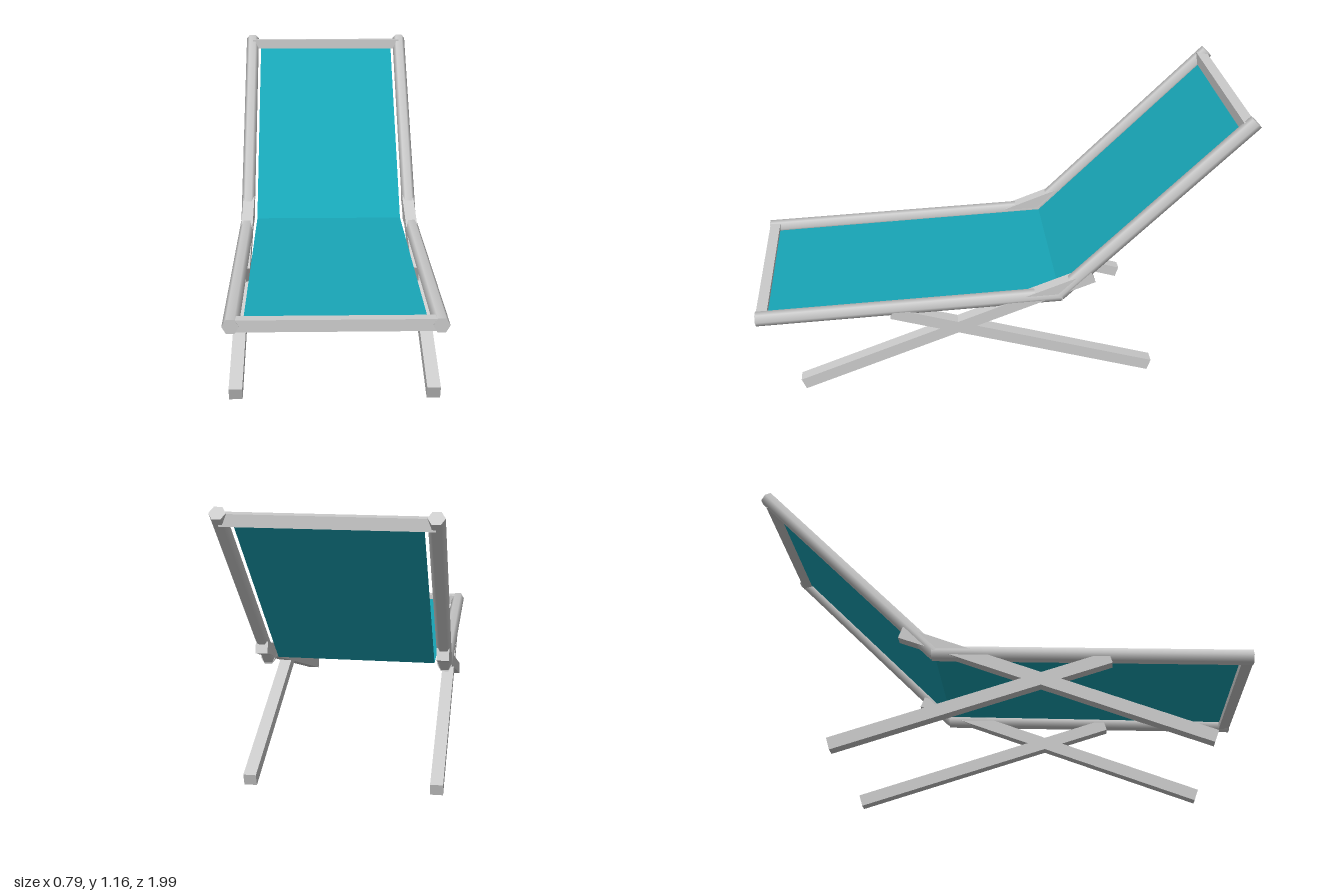
import * as THREE from 'three';

const frame = new THREE.MeshStandardMaterial({ color: 0xcccccc });
const fabric = new THREE.MeshStandardMaterial({ color: 0x18a5b6, side: THREE.DoubleSide });

// Side profile points as [z, y]
const FOOT = [1, 0.352], BEND = [-0.24, 0.405], HEAD = [-0.975, 1.147];
const RAIL_R = 0.03, RAIL_X = 0.367, LEG = 0.05, LEG_X = 0.365;
const BAR = 0.044, FOOT_BAR = [0.976, 0.353], HEAD_BAR = [-0.95, 1.122];
const CLOTH_W = 0.65;

// Places a part whose long axis is y so it runs between two profile points
function span(name, makeGeometry, material, x, a, b) {
  const dz = b[0] - a[0], dy = b[1] - a[1];
  const mesh = new THREE.Mesh(makeGeometry(Math.hypot(dz, dy)), material);
  mesh.name = name;
  mesh.position.set(x, (a[1] + b[1]) / 2, (a[0] + b[0]) / 2);
  mesh.rotation.x = Math.atan2(dz, dy);
  return mesh;
}

// Six-sided round rail with its corners pointing sideways
const rail = (len) => new THREE.CylinderGeometry(RAIL_R, RAIL_R, len, 6, 1, false, Math.PI / 2);
const leg = (len) => new THREE.BoxGeometry(LEG, len, LEG);
const cloth = (len) => new THREE.PlaneGeometry(CLOTH_W, len);

export function createModel() {
  const group = new THREE.Group();
  group.name = 'deckChair';

  // Side rails and crossed legs, mirrored
  for (const [side, s] of [['left', 1], ['right', -1]]) {
    group.add(
      span(side + 'SeatRail', rail, frame, s * RAIL_X, FOOT, [-0.248, 0.401]),
      span(side + 'BackRail', rail, frame, s * RAIL_X, [-0.236, 0.401], HEAD),
      span(side + 'FrontLeg', leg, frame, s * LEG_X, [0.831, 0.025], [-0.373, 0.487]),
      span(side + 'RearLeg', leg, frame, s * LEG_X, [-0.633, 0.025], [0.45, 0.358])
    );
  }

  // Square crossbars at the foot and the head
  for (const [name, [z, y]] of [['footBar', FOOT_BAR], ['headBar', HEAD_BAR]]) {
    const bar = new THREE.Mesh(new THREE.BoxGeometry(0.73, BAR, BAR), frame);
    bar.name = name;
    bar.position.set(0, y, z);
    group.add(bar);
  }

  // Stretched cloth panels
  group.add(
    span('seatCloth', cloth, fabric, 0, FOOT_BAR, BEND),
    span('backCloth', cloth, fabric, 0, BEND, HEAD_BAR)
  );
  return group;
}
